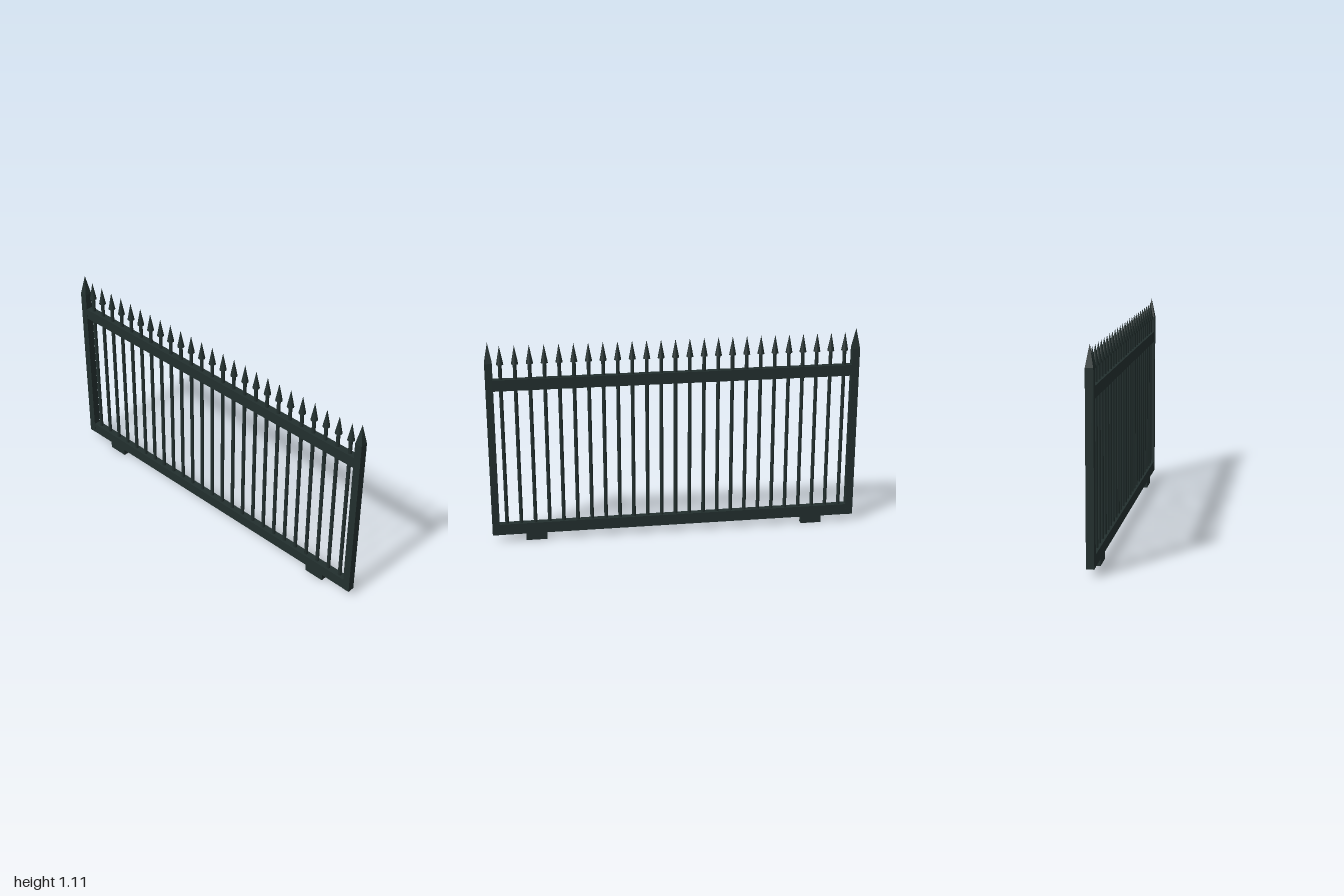
import * as THREE from 'three';

export function createModel() {
  const group = new THREE.Group();
  const iron = new THREE.MeshStandardMaterial({ color: 0x222f2e });
  iron.name = 'dark green iron';

  const add = (name, geometry, x, y, z = 0) => {
    const mesh = new THREE.Mesh(geometry, iron);
    mesh.name = name;
    mesh.position.set(x, y, z);
    group.add(mesh);
  };

  // Square end posts with pyramid points, and the feet near each end
  const postPoint = new THREE.ConeGeometry(0.02 * Math.SQRT2, 0.11, 4)
    .rotateY(Math.PI / 4).toNonIndexed();
  postPoint.computeVertexNormals();
  for (const side of [-1, 1]) {
    add('endPost', new THREE.BoxGeometry(0.04, 0.96, 0.04), side * 0.98, 0.52);
    add('postPoint', postPoint, side * 0.98, 1.055);
    add('foot', new THREE.BoxGeometry(0.113, 0.04, 0.034), side * 0.763, 0.02);
  }

  // Horizontal rails between the posts
  for (const [name, y] of [['bottomRail', 0.07], ['topRail', 0.88]]) {
    add(name, new THREE.BoxGeometry(1.92, 0.06, 0.038), 0, y);
  }

  // Evenly spaced round pickets with spear heads
  const bar = new THREE.CylinderGeometry(0.01, 0.01, 0.92, 12);
  const head = new THREE.ConeGeometry(0.019, 0.1, 16);
  const count = 25;
  for (let i = 0; i < count; i++) {
    const x = -0.92 + (1.84 * i) / (count - 1);
    add('picket', bar, x, 0.54);
    add('spearHead', head, x, 1.04);
  }

  return group;
}
